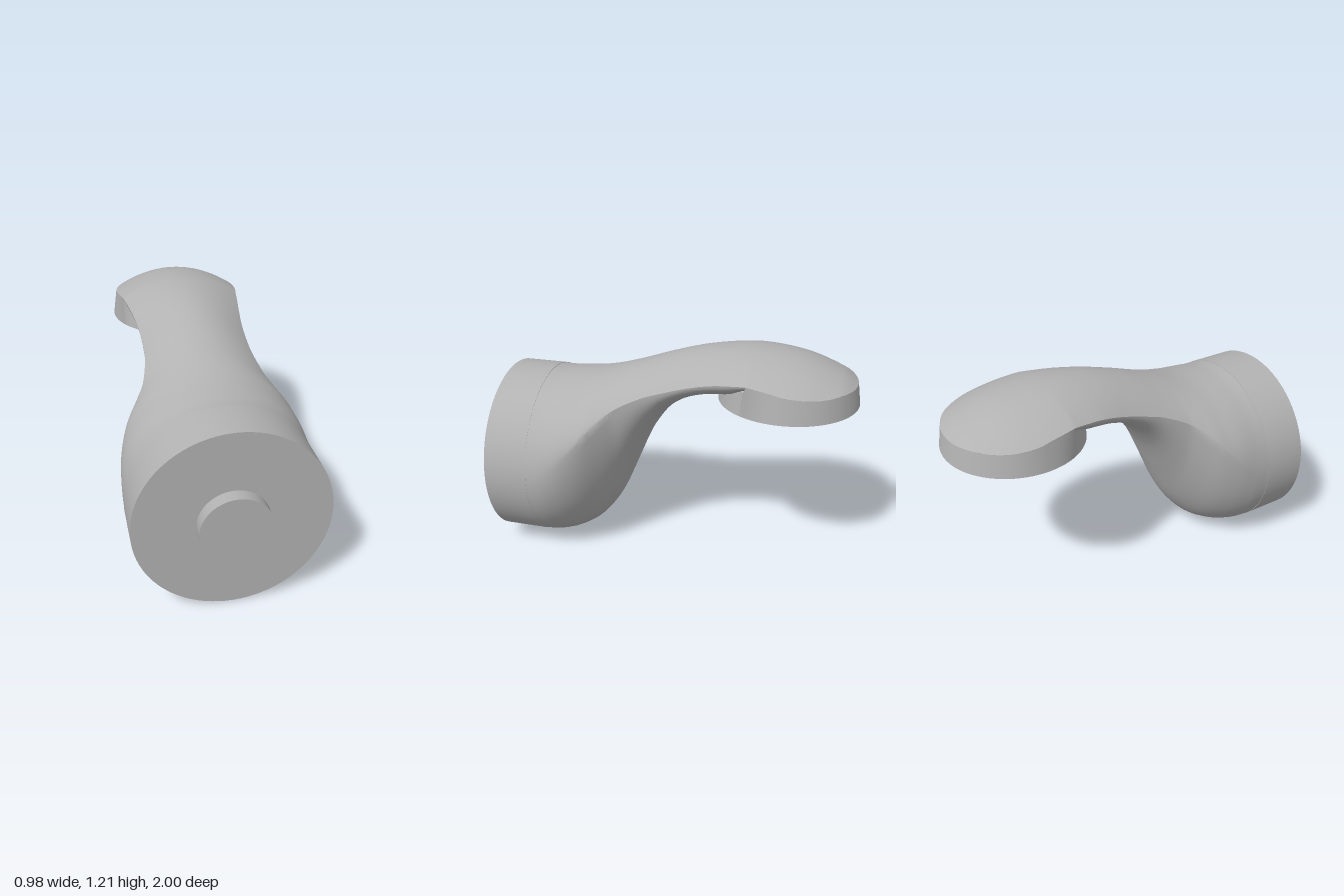
import * as THREE from 'three';
import { toCreasedNormals } from 'three/addons/utils/BufferGeometryUtils.js';

// Smooth curve through [z, value] pairs listed by falling z
function profile(pts) {
  const slope = (i) => {
    const a = pts[Math.max(i - 1, 0)], b = pts[Math.min(i + 1, pts.length - 1)];
    return (b[1] - a[1]) / (b[0] - a[0]);
  };
  return (z) => {
    let i = 0;
    while (i < pts.length - 2 && z < pts[i + 1][0]) i++;
    const [z0, v0] = pts[i], [z1, v1] = pts[i + 1], h = z1 - z0;
    const s = THREE.MathUtils.clamp((z - z0) / h, 0, 1), r = 1 - s;
    return v0 * (1 + 2 * s) * r * r + slope(i) * h * s * r * r
      + v1 * s * s * (3 - 2 * s) - slope(i + 1) * h * s * s * r;
  };
}

// Skin over closed rings of equal point count
function skin(rings, crease) {
  const n = rings[0].length, index = [];
  for (let i = 0; i < rings.length - 1; i++) {
    for (let j = 0; j < n; j++) {
      const k = (j + 1) % n, a = i * n + j, b = i * n + k, c = a + n, d = b + n;
      index.push(a, c, b, b, c, d);
    }
  }
  const g = new THREE.BufferGeometry();
  g.setAttribute('position', new THREE.Float32BufferAttribute(rings.flat(2), 3));
  g.setIndex(index);
  return toCreasedNormals(g, crease);
}

const HEAD_Z = -0.63, RIM = 0.352, ARCH = 0.95;

const topLine = profile([[0.7, 0.98], [0.6, 0.977], [0.4, 1.0], [0.2, 1.06], [0, 1.13],
  [-0.2, 1.183], [-0.45, 1.207], [-0.7, 1.178], [-0.9, 1.105], [-0.985, 1.05]]);
const bottomLine = profile([[0.7, 0], [0.6, 0.008], [0.5, 0.04], [0.4, 0.11], [0.3, 0.25],
  [0.2, 0.48], [0.15, 0.6], [0.1, 0.7], [0, 0.84], [-0.1, 0.92], [-0.2, 0.96],
  [-0.28, 0.972], [-0.36, 0.985], [-0.45, 1.03], [-1, 1.03]]);
const neckWidth = profile([[0.7, 0.49], [0.6, 0.488], [0.5, 0.475], [0.4, 0.435], [0.3, 0.36],
  [0.24, 0.322], [0.1, 0.288], [0, 0.283], [-0.1, 0.285], [-0.2, 0.295], [-0.3, 0.309],
  [-0.4, 0.324], [-0.5, 0.34], [HEAD_Z, RIM]]);
const neckEdge = profile([[0.7, 0.49], [0.6, 0.53], [0.45, 0.68], [0.35, 0.8], [0.25, 0.89],
  [0.1, 0.965], [0, 1.0], [-0.1, 1.033], [-0.2, 1.063], [-0.3, 1.085], [-0.45, 1.102]]);

const halfWidth = (z) => z > HEAD_Z ? neckWidth(z)
  : Math.sqrt(Math.max(RIM * RIM - (z - HEAD_Z) ** 2, 0));
const edgeLine = (z) => z > -0.45 ? neckEdge(z) : topLine(z) - ARCH * halfWidth(z) ** 2;

// Bulb, neck and domed top of the head as one loft
function leverGeometry() {
  const stations = [];
  for (let i = 0; i < 90; i++) stations.push(0.7 + (HEAD_Z - 0.7) * i / 90);
  for (let i = 0; i <= 20; i++) stations.push(HEAD_Z - RIM * Math.sin(i / 20 * Math.PI / 2));
  const rings = stations.map((z) => {
    const w = halfWidth(z), e = edgeLine(z), top = topLine(z);
    const low = Math.min(bottomLine(z), e);
    const power = 1 + THREE.MathUtils.smoothstep(-z, -0.62, -0.12);
    const ring = [];
    for (let j = 0; j < 80; j++) {
      const t = j / 80 * Math.PI * 2, s = Math.sin(t);
      const y = s >= 0 ? e + (top - e) * Math.pow(s, power) : e + (e - low) * s;
      ring.push([w * Math.cos(t), y, z]);
    }
    return ring;
  });
  return skin(rings, 0.65);
}

// Head wall, flat underside and round recess
function headGeometry() {
  const n = 96;
  const ring = (f) => Array.from({ length: n }, (_, j) => {
    const a = j / n * Math.PI * 2;
    return f(Math.sin(a), Math.cos(a));
  });
  const circle = (r, y) => ring((s, c) => [r * s, y, HEAD_Z + r * c]);
  const rim = ring((s, c) => {
    const z = HEAD_Z + RIM * c;
    return z < -0.45 ? [Math.sign(s) * halfWidth(z), edgeLine(z), z]
      : [RIM * s, edgeLine(z) - 0.04, z];
  });
  return skin([rim, circle(0.37, 0.935), circle(0.18, 0.935), circle(0.18, 1.005),
    circle(0, 1.005)], 0.6);
}

export function createModel() {
  const group = new THREE.Group();
  const metal = new THREE.MeshStandardMaterial({ color: 0xb2b2b2 });
  metal.name = 'satin grey';

  const add = (name, geometry) => {
    const mesh = new THREE.Mesh(geometry, metal);
    mesh.name = name;
    group.add(mesh);
    return mesh;
  };
  // Disc along z between two depths
  const disc = (name, r, z0, z1) => add(name,
    new THREE.CylinderGeometry(r, r, z1 - z0, 96).rotateX(Math.PI / 2))
    .position.set(0, 0.491, (z0 + z1) / 2);

  disc('baseCollar', 0.491, 0.69, 0.93);
  disc('mountingPin', 0.18, 0.92, 1.0);
  add('leverArm', leverGeometry());
  add('leverHead', headGeometry());
  return group;
}
